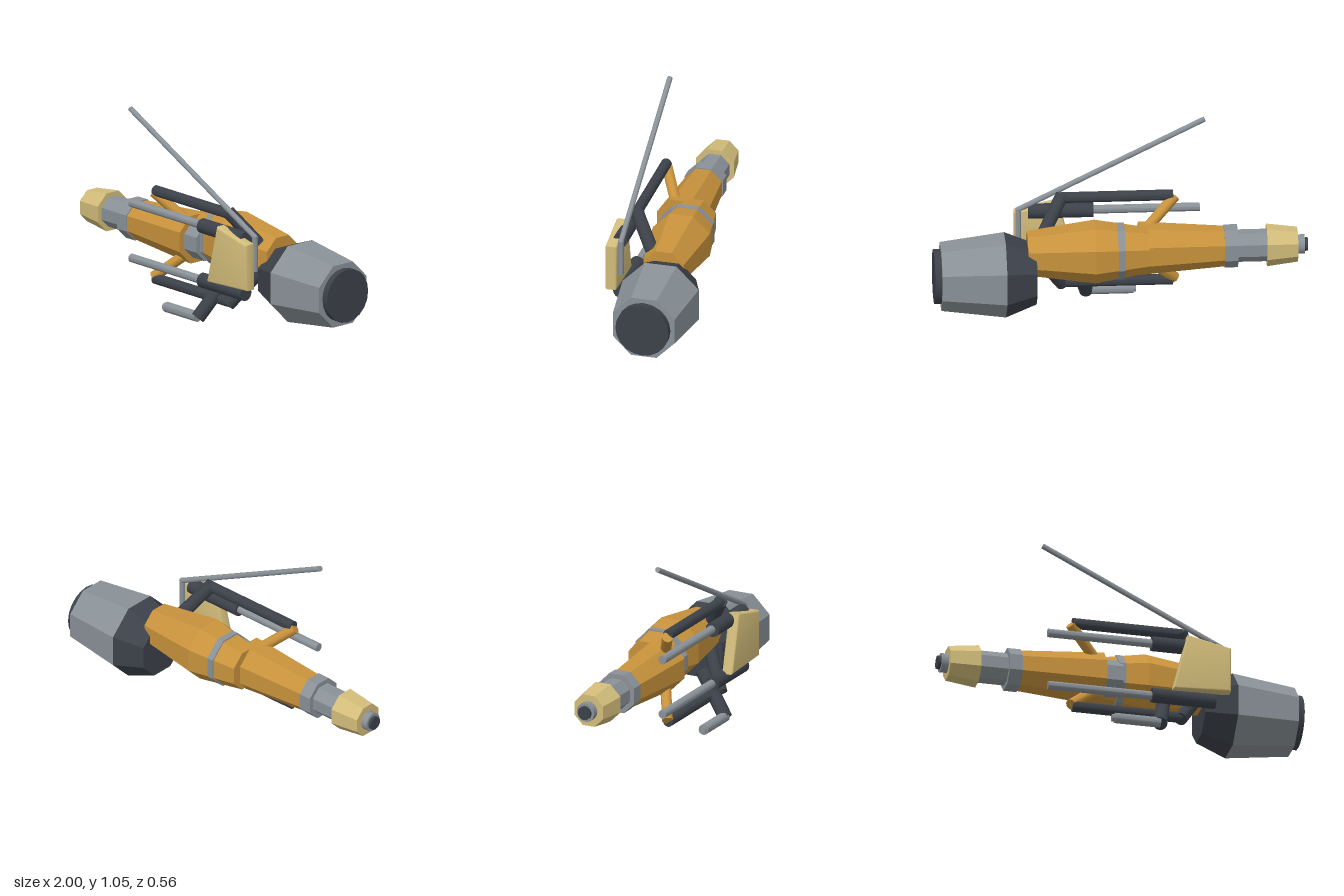
import * as THREE from 'three';
import { toCreasedNormals } from 'three/addons/utils/BufferGeometryUtils.js';

const mat = (name, color) => {
  const m = new THREE.MeshStandardMaterial({ color });
  m.name = name;
  return m;
};

export function createModel() {
  const model = new THREE.Group();
  const orange = mat('orange hull', 0xc8923c);
  const tan = mat('tan panel', 0xd2bc7a);
  const grey = mat('grey metal', 0x899197);
  const dark = mat('dark metal', 0x3c4149);

  const add = (name, geometry, material) => {
    const mesh = new THREE.Mesh(toCreasedNormals(geometry, 0.6), material);
    mesh.name = name;
    model.add(mesh);
    return mesh;
  };

  // Octagonal section along x; r0 and r1 are the half widths across flats
  const octagon = (name, material, x0, x1, r0, r1, y, z) => {
    const k = 1 / Math.cos(Math.PI / 8);
    const g = new THREE.CylinderGeometry(r1 * k, r0 * k, x1 - x0, 8, 1, false, Math.PI / 8);
    g.rotateZ(-Math.PI / 2).translate((x0 + x1) / 2, y, z);
    return add(name, g, material);
  };

  // Round rod between two points
  const rod = (name, material, a, b, r) => {
    const from = new THREE.Vector3(...a), to = new THREE.Vector3(...b);
    const dir = to.clone().sub(from);
    const g = new THREE.CylinderGeometry(r, r, dir.length(), 20);
    const mesh = add(name, g, material);
    mesh.position.copy(from).add(to).multiplyScalar(0.5);
    mesh.quaternion.setFromUnitVectors(new THREE.Vector3(0, 1, 0), dir.normalize());
    return mesh;
  };

  // Forward fuselage and nose
  const fy = 0.37, fz = 0.012;
  rod('noseTip', dark, [-1, fy, fz], [-0.97, fy, fz], 0.037);
  rod('noseCollar', grey, [-0.983, fy, fz], [-0.93, fy, fz], 0.052);
  octagon('noseCone', tan, -0.945, -0.78, 0.086, 0.105, fy, fz);
  octagon('noseNeck', grey, -0.79, -0.62, 0.08, 0.08, fy, fz);
  octagon('frontRing', grey, -0.625, -0.553, 0.106, 0.106, fy, fz);
  octagon('frontHull', orange, -0.555, -0.098, 0.1, 0.132, fy, fz);
  octagon('middleNeck', grey, -0.11, 0, 0.1, 0.1, fy, fz);

  // Rear fuselage, offset to the back
  const ry = 0.386, rz = -0.054;
  octagon('rearHullFront', orange, -0.145, 0.14, 0.113, 0.157, ry, rz);
  octagon('rearHullBack', orange, 0.14, 0.5, 0.157, 0.11, ry, rz);
  octagon('hullBand', grey, -0.018, 0.02, 0.14, 0.14, ry, rz);

  // Engine
  const ey = 0.272, ez = -0.071;
  octagon('engineIntake', dark, 0.455, 0.62, 0.15, 0.21, ey, ez);
  octagon('engineCasing', grey, 0.62, 0.963, 0.21, 0.17, ey, ez);
  rod('engineNozzle', dark, [0.94, ey, ez], [1, ey, ez], 0.147);

  // Guns, side rails and braces, mirrored above and below the middle line
  for (const s of [1, -1]) {
    const side = s > 0 ? 'upper' : 'lower';
    const y = (d) => 0.373 + s * d;
    rod(side + 'Barrel', grey, [-0.435, y(0.153), 0.187], [0.15, y(0.153), 0.187], 0.023);
    rod(side + 'GunSleeve', dark, [0.132, y(0.151), 0.19], [0.48, y(0.151), 0.19], 0.04);
    rod(side + 'Rail', dark, [-0.29, y(0.244), 0.145], [0.31, y(0.244), 0.145], 0.029);
    rod(side + 'RearBrace', dark, [0.3, y(0.256), 0.153], [0.41, y(0.08), 0.035], 0.036);
    rod(side + 'FrontBrace', orange, [-0.3, y(0.235), 0.148], [-0.13, y(0.08), 0.045], 0.029);
  }

  // Small gun hanging below
  rod('lowGunStrut', dark, [0.165, 0.03, 0.252], [0.225, 0.25, 0.08], 0.038);
  rod('lowGunBarrel', grey, [-0.085, 0.037, 0.25], [0.165, 0.037, 0.25], 0.028);
  rod('lowGunMuzzle', grey, [-0.1, 0.037, 0.25], [-0.08, 0.037, 0.25], 0.02);

  // Side panel with softened edges
  const b = 0.012;
  const shape = new THREE.Shape([
    [0.325, 0.556], [0.542, 0.507], [0.542, 0.274], [0.25, 0.258],
  ].map(([x, y]) => new THREE.Vector2(x, y)));
  const panel = new THREE.ExtrudeGeometry(shape, {
    depth: 0.064 - 2 * b, bevelSize: b, bevelThickness: b, bevelSegments: 3,
  });
  panel.translate(0, 0, 0.191 + b);
  add('sidePanel', panel, tan);

  // Antenna with post and joint
  const az = 0.172;
  rod('antennaPost', grey, [0.533, 0.355, az], [0.533, 0.545, az], 0.015);
  rod('antenna', grey, [0.54, 0.54, az], [-0.46, 1.04, az], 0.0145);
  const joint = add('antennaJoint', new THREE.SphereGeometry(0.016, 16, 10), grey);
  joint.position.set(0.533, 0.543, az);

  return model;
}
